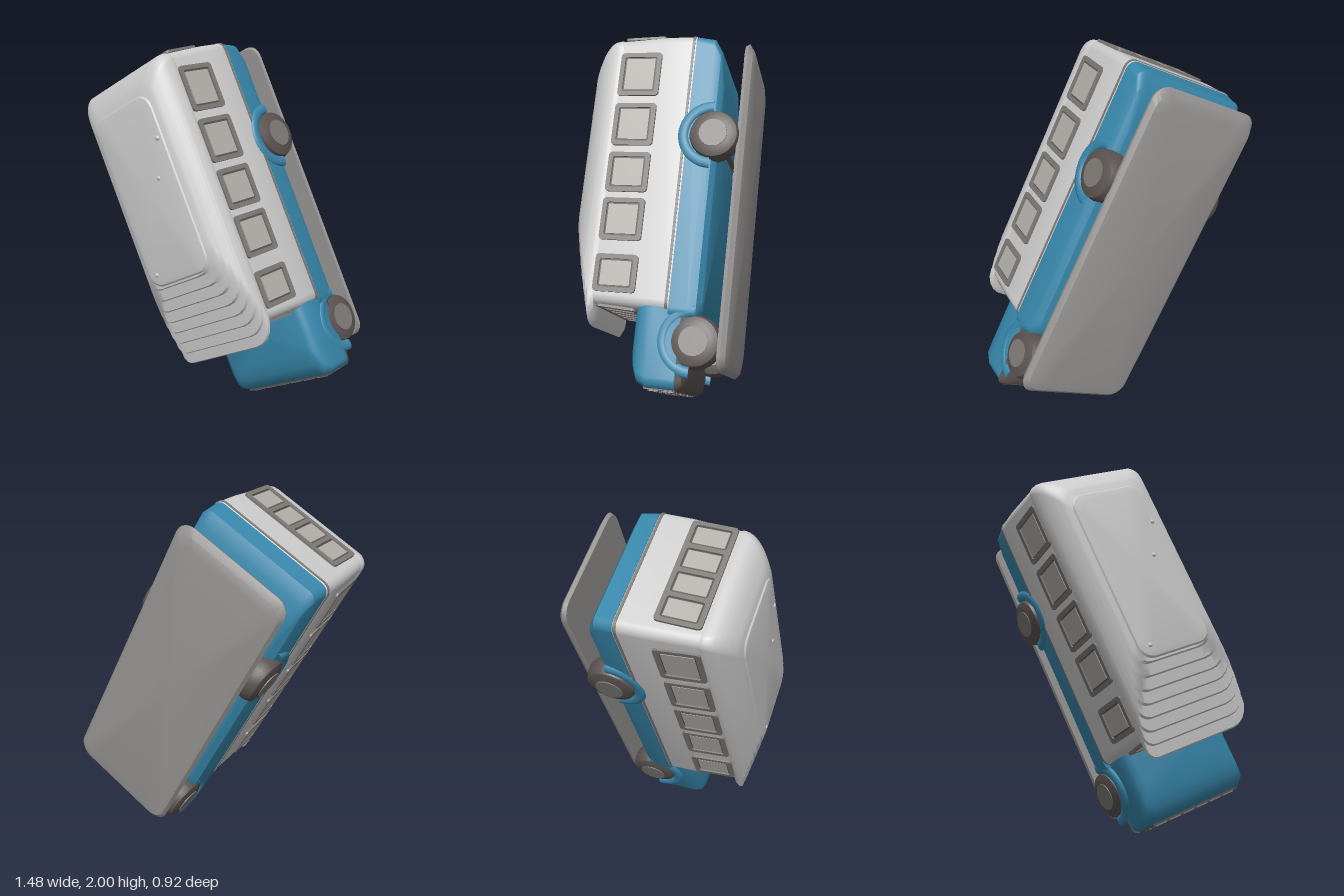
import * as THREE from 'three';
import { toCreasedNormals } from 'three/addons/utils/BufferGeometryUtils.js';

const mat = (color) => new THREE.MeshStandardMaterial({ color });
const GREY = mat(0xcccccc), BLUE = mat(0x3786aa), DARK = mat(0x5a5250), FRAME = mat(0x7d7975),
  GLASS = mat(0xb0aea8), SLAB = mat(0x969492);

// Rounded rectangle outline, counter-clockwise; front is the radius of the +x, -y corner
function ring(x0, x1, y0, y1, r, front = r, n = 5) {
  const pts = [];
  const corners = [[x1 - r, y1 - r, r], [x0 + r, y1 - r, r], [x0 + r, y0 + r, r], [x1 - front, y0 + front, front]];
  corners.forEach(([cx, cy, rad], q) => {
    for (let i = 0; i <= n; i++) {
      const a = (q + i / n) * Math.PI / 2;
      pts.push([cx + rad * Math.cos(a), cy + rad * Math.sin(a)]);
    }
  });
  return pts;
}

// Stack of rounded rectangles; each layer is [z, x0, x1, y0, y1, radius, front corner radius]
function stack(layers, crease = 0.6) {
  const pos = [], idx = [];
  const n = 24;
  layers.forEach(([z, ...b]) => ring(...b).forEach(([x, y]) => pos.push(x, y, z)));
  for (let k = 0; k < layers.length - 1; k++) {
    for (let i = 0; i < n; i++) {
      const a = k * n + i, b = k * n + (i + 1) % n;
      idx.push(a, b, b + n, a, b + n, a + n);
    }
  }
  [0, layers.length - 1].forEach((k) => {
    const [z, x0, x1, y0, y1] = layers[k];
    const c = pos.length / 3;
    pos.push((x0 + x1) / 2, (y0 + y1) / 2, z);
    for (let i = 0; i < n; i++) {
      const a = k * n + i, b = k * n + (i + 1) % n;
      if (k) idx.push(c, a, b); else idx.push(c, b, a);
    }
  });
  const g = new THREE.BufferGeometry();
  g.setAttribute('position', new THREE.Float32BufferAttribute(pos, 3));
  g.setIndex(idx);
  return toCreasedNormals(g, crease);
}

function add(parent, name, geo, material, x = 0, y = 0, z = 0) {
  const m = new THREE.Mesh(geo, material);
  m.name = name;
  m.position.set(x, y, z);
  parent.add(m);
  return m;
}

// Framed window facing local +z, with panes split by mullions
function makeWindow(name, w, h, panes = 1) {
  const g = new THREE.Group();
  g.name = name;
  const toShape = (pts, C) => new C(pts.map(([x, y]) => new THREE.Vector2(x, y)));
  const s = toShape(ring(-w / 2, w / 2, -h / 2, h / 2, 0.02), THREE.Shape);
  const t = 0.025, pw = (w - t * (panes + 1)) / panes;
  for (let i = 0; i < panes; i++) {
    const x = -w / 2 + t + i * (pw + t);
    s.holes.push(toShape(ring(x, x + pw, -h / 2 + t, h / 2 - t, 0.012).reverse(), THREE.Path));
    add(g, 'pane', new THREE.BoxGeometry(pw - 0.02, h - 2 * t - 0.02, 0.012), GLASS, x + pw / 2, 0, 0.005);
  }
  add(g, 'windowFrame', new THREE.ExtrudeGeometry(s, { depth: 0.014, bevelEnabled: false }), FRAME);
  add(g, 'windowBacking', new THREE.BoxGeometry(w - 0.02, h - 0.02, 0.008), DARK);
  return g;
}

export function createModel() {
  const model = new THREE.Group();
  model.name = 'bus';
  // Local frame: x across, y from nose to tail, z from wheels to roof
  const bus = new THREE.Group();
  bus.name = 'tiltedBus';
  bus.rotation.z = 0.47;
  bus.position.y = 1;
  model.add(bus);

  // Cabin walls
  add(bus, 'cabin', stack([
    [-0.14, -0.36, 0.36, -0.57, 0.94, 0.05], [-0.13, -0.363, 0.363, -0.575, 0.95, 0.05],
    [0.03, -0.36, 0.36, -0.57, 0.945, 0.05], [0.3, -0.342, 0.342, -0.56, 0.926, 0.05],
  ]), GREY);

  // Domed roof whose front comes down in terraces to a thin visor
  const roofLayers = [[0.275, -0.342, 0.342, -0.64, 0.922, 0.05, 0.13]];
  const steps = 8;
  const roofLayer = (t, front) => {
    const w = 0.348 - 0.1 * t ** 2.4;
    return [0.295 + 0.152 * t, -w, w, front, 0.928 - 0.15 * t ** 2.6, 0.05 + 0.03 * t, 0.14];
  };
  for (let i = 0; i < steps; i++) {
    const front = -0.675 + 0.45 * i / (steps - 1);
    roofLayers.push(roofLayer(i / steps, front), roofLayer((i + 0.65) / steps, front + 0.006));
  }
  add(bus, 'roof', stack(roofLayers, 0.7), GREY);
  add(bus, 'roofPanel', stack([
    [0.43, -0.24, 0.24, -0.22, 0.77, 0.08], [0.448, -0.225, 0.225, -0.2, 0.755, 0.08],
    [0.454, -0.19, 0.19, -0.17, 0.72, 0.07],
  ], 0.3), GREY);
  [[0.2, 0.52], [0.11, 0.33], [-0.16, -0.14]].forEach(([x, y]) =>
    add(bus, 'roofVent', new THREE.SphereGeometry(0.014, 10, 8), GREY, x, y, 0.448));

  // Blue lower band, hood and trim
  add(bus, 'lowerBand', stack([
    [-0.3, -0.31, 0.31, -0.56, 0.7, 0.05], [-0.275, -0.345, 0.345, -0.6, 0.87, 0.05],
    [-0.235, -0.357, 0.357, -0.61, 0.935, 0.05], [-0.135, -0.362, 0.362, -0.61, 0.948, 0.05],
  ]), BLUE);
  add(bus, 'hood', stack([
    [-0.235, -0.29, 0.31, -0.92, -0.5, 0.05], [-0.2, -0.33, 0.35, -0.965, -0.5, 0.05],
    [-0.05, -0.33, 0.35, -0.965, -0.5, 0.05], [0, -0.325, 0.345, -0.94, -0.5, 0.05],
    [0.025, -0.31, 0.33, -0.89, -0.5, 0.06], [0.04, -0.28, 0.3, -0.83, -0.5, 0.06],
  ], 0.9), BLUE);
  add(bus, 'beltTrim', stack([
    [-0.128, -0.366, 0.366, -0.578, 0.953, 0.05], [-0.114, -0.366, 0.366, -0.578, 0.953, 0.05],
  ]), FRAME);

  // Side windows, leaning in with the walls and mirrored left and right
  const spans = [[0.71, 0.25], [0.42, 0.24], [0.15, 0.22], [-0.11, 0.23], [-0.4, 0.2]];
  const lean = Math.PI / 2 - 0.067;
  [1, -1].forEach((s) => spans.forEach(([y, w]) => {
    const mount = new THREE.Group();
    mount.name = 'sideWindowMount';
    mount.position.set(s * 0.349, y, 0.165);
    mount.rotation.z = s * Math.PI / 2;
    const win = makeWindow('sideWindow', w, 0.235);
    win.rotation.x = lean;
    mount.add(win);
    bus.add(mount);
  }));

  // Rear window and windscreen
  const rear = makeWindow('rearWindow', 0.6, 0.235, 4);
  rear.rotation.x = -lean;
  rear.position.set(0.02, 0.934, 0.165);
  const screen = makeWindow('windscreen', 0.62, 0.22, 5);
  screen.rotation.x = lean;
  screen.position.set(0, -0.564, 0.16);
  bus.add(rear, screen);

  // Grille with two rows of cells, and the bumper
  add(bus, 'grilleBack', new THREE.BoxGeometry(0.6, 0.02, 0.17), DARK, 0.01, -0.96, -0.125);
  for (let i = 0; i < 6; i++) {
    [-0.085, -0.165].forEach((z) =>
      add(bus, 'grilleCell', new THREE.BoxGeometry(0.075, 0.02, 0.055), FRAME, -0.23 + i * 0.096, -0.967, z));
  }
  add(bus, 'bumper', stack([
    [-0.25, -0.27, 0.29, -0.91, -0.55, 0.04], [-0.235, -0.315, 0.335, -0.95, -0.55, 0.04],
    [-0.205, -0.332, 0.352, -0.97, -0.55, 0.04],
  ]), DARK);

  // Wheels, arches and axles
  const tyre = new THREE.LatheGeometry([[0, -0.07], [0.09, -0.07], [0.125, -0.055], [0.138, -0.02],
    [0.138, 0.02], [0.125, 0.055], [0.09, 0.07], [0, 0.07]].map((p) => new THREE.Vector2(...p)), 28);
  const tyreGeo = toCreasedNormals(tyre.rotateZ(Math.PI / 2), 0.7);
  const hubGeo = new THREE.CylinderGeometry(0.075, 0.075, 0.15, 24).rotateZ(Math.PI / 2);
  const archGeo = new THREE.TorusGeometry(0.155, 0.03, 10, 24, Math.PI)
    .rotateX(Math.PI / 2).rotateZ(Math.PI / 2).scale(0.6, 1, 1);
  [[0.375, 0.32, 0.357], [-0.715, 0.29, 0.338]].forEach(([y, x, archX]) => {
    [1, -1].forEach((s) => {
      add(bus, 'wheel', tyreGeo, DARK, s * x, y, -0.28);
      add(bus, 'hub', hubGeo, FRAME, s * x, y, -0.28);
      add(bus, 'wheelArch', archGeo, BLUE, s * archX, y, -0.27);
    });
    add(bus, 'axle', new THREE.CylinderGeometry(0.035, 0.035, 2 * x, 14).rotateZ(Math.PI / 2), DARK, 0, y, -0.28);
  });

  // Thin ground slab under the wheels
  add(bus, 'groundSlab', stack([
    [-0.454, -0.28, 0.3, -0.79, 0.84, 0.08], [-0.445, -0.31, 0.335, -0.83, 0.89, 0.08],
    [-0.42, -0.325, 0.355, -0.855, 0.925, 0.08], [-0.402, -0.32, 0.35, -0.85, 0.915, 0.08],
  ], 0.45), SLAB);

  return model;
}
